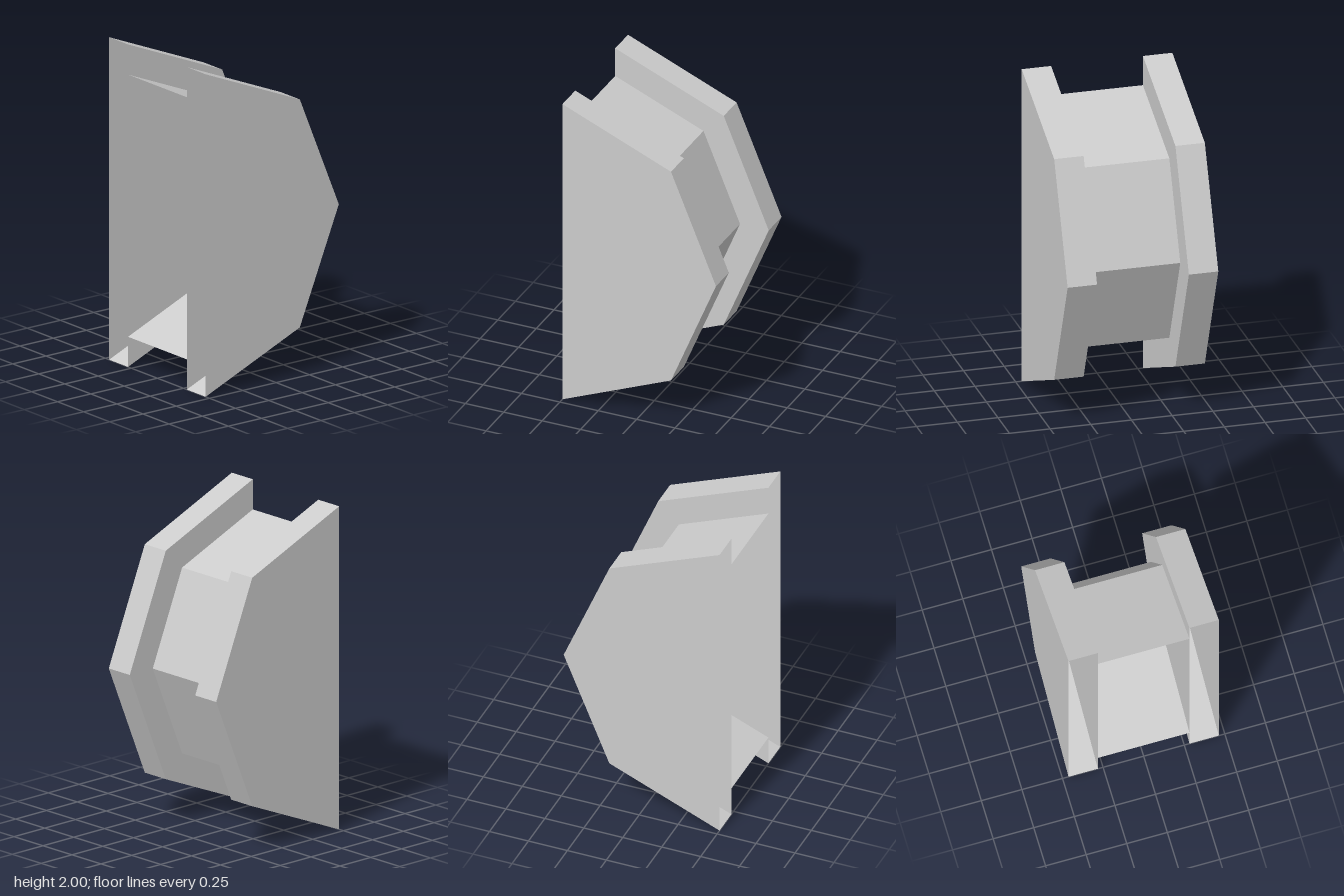
import * as THREE from 'three';

const material = new THREE.MeshStandardMaterial({
  color: 0xcccccc,
  flatShading: true,
  side: THREE.DoubleSide,
});

// Half of an octagonal drum lying along x, hollow and open towards +z
function halfDrum(name, radius, width, x, openEnded) {
  const geometry = new THREE.CylinderGeometry(
    radius, radius, width, 4, 1, openEnded, Math.PI / 2, Math.PI);
  geometry.rotateZ(Math.PI / 2);
  const mesh = new THREE.Mesh(geometry, material);
  mesh.name = name;
  mesh.position.set(x, 1, 0.5);
  return mesh;
}

export function createModel() {
  const group = new THREE.Group();
  group.name = 'halfSpool';

  // Thin core between the flanges
  group.add(halfDrum('core', 0.813, 0.564, 0, true));

  // Hollow flanges with closed side walls
  const inner = 0.282, outer = 0.463;
  for (const [name, side] of [['leftFlange', 1], ['rightFlange', -1]]) {
    group.add(halfDrum(name, 1, outer - inner, side * (inner + outer) / 2, false));
  }
  return group;
}
